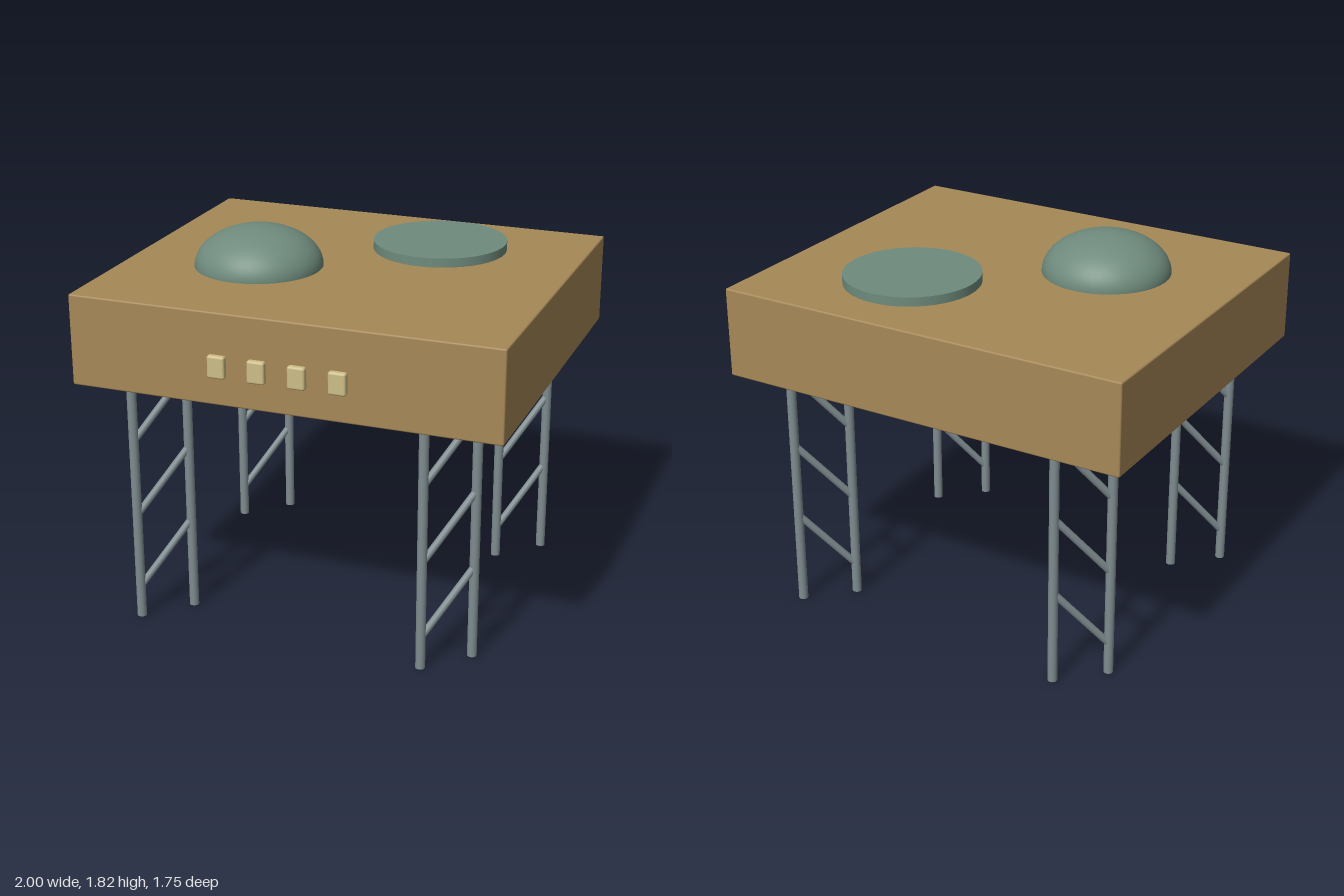
import * as THREE from 'three';
import { RoundedBoxGeometry } from 'three/addons/geometries/RoundedBoxGeometry.js';

const material = (name, color) => {
  const m = new THREE.MeshStandardMaterial({ color });
  m.name = name;
  return m;
};

export function createModel() {
  const wood = material('wood', 0xa68857);
  const green = material('greyGreen', 0x6f8b7d);
  const steel = material('steel', 0x7f8c90);
  const cream = material('cream', 0xcdbe88);

  const model = new THREE.Group();
  model.name = 'consoleTable';

  const add = (parent, name, geometry, mat, x, y, z) => {
    const mesh = new THREE.Mesh(geometry, mat);
    mesh.name = name;
    mesh.position.set(x, y, z);
    parent.add(mesh);
    return mesh;
  };

  // Round bar between two points
  const bar = (parent, name, a, b, radius) => {
    const dir = b.clone().sub(a);
    const mid = a.clone().add(b).multiplyScalar(0.5);
    const mesh = add(parent, name, new THREE.CylinderGeometry(radius, radius, dir.length(), 16),
      steel, mid.x, mid.y, mid.z);
    mesh.quaternion.setFromUnitVectors(new THREE.Vector3(0, 1, 0), dir.normalize());
  };

  // Thick slab body with softened edges
  add(model, 'body', new RoundedBoxGeometry(2, 0.425, 1.718, 2, 0.008), wood, 0, 1.4175, -0.016);

  // Flattened dome with a closed underside
  const dome = new THREE.Group();
  dome.name = 'dome';
  dome.position.set(-0.375, 1.64, 0.17);
  model.add(dome);
  const shell = new THREE.SphereGeometry(0.297, 48, 16, 0, Math.PI * 2, 0, Math.PI / 2);
  shell.scale(1, 0.185 / 0.297, 1);
  add(dome, 'domeShell', shell, green, 0, 0, 0);
  add(dome, 'domeBase', new THREE.CircleGeometry(0.297, 48), green, 0, 0, 0).rotation.x = Math.PI / 2;

  // Flat round plate
  add(model, 'plate', new THREE.CylinderGeometry(0.316, 0.316, 0.043, 48), green, 0.322, 1.6595, -0.38);

  // Row of front buttons
  for (let i = 0; i < 4; i++) {
    add(model, 'button', new RoundedBoxGeometry(0.082, 0.104, 0.034, 3, 0.011), cream,
      -0.283 + i * 0.186, 1.39, 0.858);
  }

  // Four trussed legs: two posts set diagonally, joined by three slanted braces
  for (const x of [-0.699, 0.699]) {
    for (const z of [0.595, -0.615]) {
      const leg = new THREE.Group();
      leg.name = 'leg';
      leg.position.set(x, 0, z);
      model.add(leg);
      for (const s of [-1, 1]) {
        bar(leg, 'post', new THREE.Vector3(s * 0.093, 0, -s * 0.094),
          new THREE.Vector3(s * 0.093, 1.21, -s * 0.094), 0.0225);
      }
      for (let i = 0; i < 3; i++) {
        const y = 0.16 + i * 0.373;
        bar(leg, 'brace', new THREE.Vector3(-0.088, y, 0.088),
          new THREE.Vector3(0.088, y + 0.285, -0.088), 0.017);
      }
    }
  }
  return model;
}
